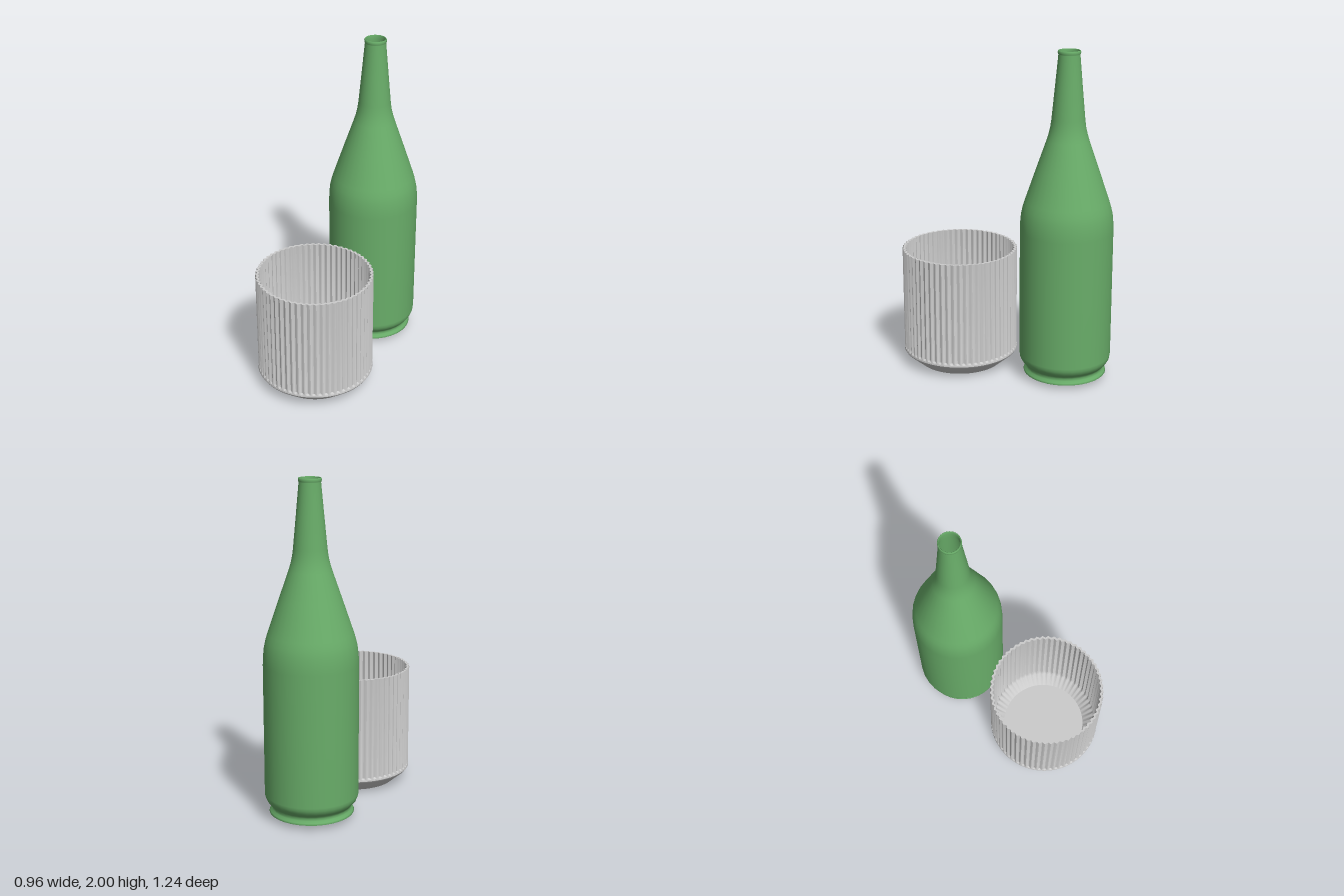
import * as THREE from 'three';
import { toCreasedNormals } from 'three/addons/utils/BufferGeometryUtils.js';

const profile = (points) => points.map(([r, y]) => new THREE.Vector2(r, y));

function createBottle() {
  // Foot, pinched ring, straight body, shoulder, tapering neck and rolled lip
  const points = profile([
    [0, 0.05], [0.245, 0.028], [0.252, 0.03], [0.247, 0.04], [0.237, 0.052], [0.235, 0.065],
    [0.241, 0.078], [0.256, 0.092], [0.268, 0.108], [0.275, 0.125], [0.278, 0.145],
    [0.278, 0.55], [0.278, 0.93], [0.276, 0.98], [0.271, 1.03], [0.262, 1.07], [0.25, 1.11],
    [0.182, 1.31], [0.125, 1.475], [0.113, 1.515], [0.104, 1.555], [0.098, 1.6],
    [0.08, 1.79], [0.063, 1.975], [0.066, 1.98], [0.067, 1.99], [0.065, 1.998],
    [0.062, 2], [0.059, 1.997], [0.058, 1.975], [0.06, 1.94],
  ]);
  const material = new THREE.MeshStandardMaterial({ color: 0x69ad69, side: THREE.DoubleSide });
  const bottle = new THREE.Mesh(new THREE.LatheGeometry(points, 32), material);
  bottle.name = 'bottle';
  bottle.position.set(0.2, 0, -0.345);
  return bottle;
}

function createTumbler() {
  const flutes = 60;
  const depth = 0.005;
  // Each row: radius, height, flute strength
  const rows = [
    [0, 0, 0], [0.262, 0, 0], [0.35, 0.075, 0], [0.356, 0.085, 0], [0.355, 0.095, 0],
    [0.349, 0.105, 1], [0.349, 0.74, 1],
    [0.335, 0.74, 1], [0.335, 0.11, 1], [0.325, 0.09, 0.9], [0.265, 0.025, 0], [0, 0.025, 0],
  ];
  const geometry = new THREE.LatheGeometry(profile(rows), flutes * 6);
  // Ripple the wall rows into vertical flutes
  const pos = geometry.attributes.position;
  for (let i = 0; i < pos.count; i++) {
    const [r, , strength] = rows[i % rows.length];
    const step = Math.floor(i / rows.length) % (flutes * 6);
    const angle = (step / (flutes * 6)) * Math.PI * 2;
    const radius = r + depth * strength * Math.cos(angle * flutes);
    pos.setX(i, radius * Math.sin(angle));
    pos.setZ(i, radius * Math.cos(angle));
  }
  const material = new THREE.MeshStandardMaterial({ color: 0xcccccc });
  const tumbler = new THREE.Mesh(toCreasedNormals(geometry, 0.6), material);
  tumbler.name = 'flutedTumbler';
  tumbler.position.set(-0.127, 0, 0.262);
  return tumbler;
}

export function createModel() {
  const model = new THREE.Group();
  model.name = 'bottleAndTumbler';
  model.add(createBottle(), createTumbler());
  return model;
}
